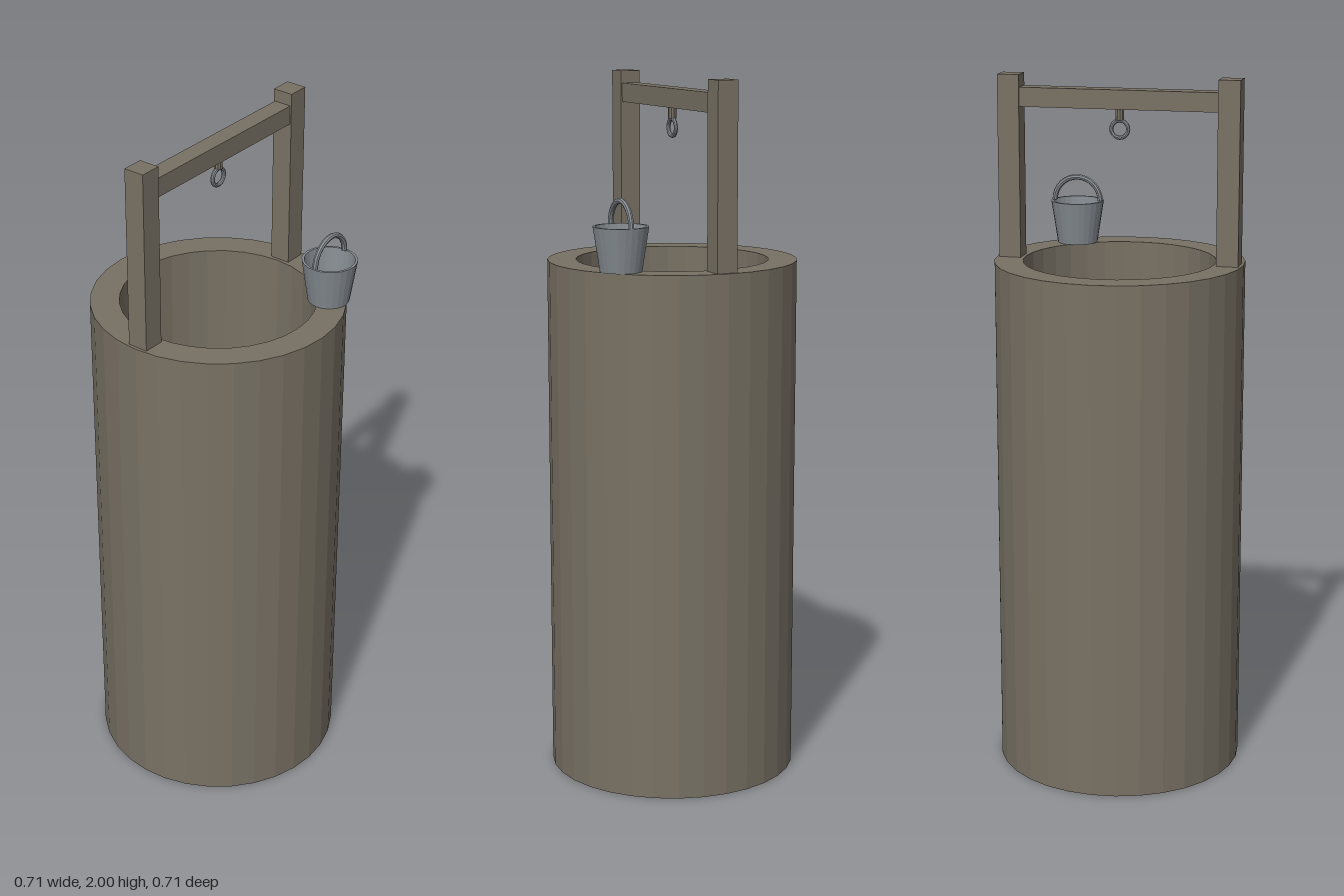
import * as THREE from 'three';

const stone = new THREE.MeshStandardMaterial({ name: 'weathered stone', color: 0x787164, flatShading: true });
const metal = new THREE.MeshStandardMaterial({ name: 'grey metal', color: 0x858b91, flatShading: true });

function add(parent, name, geometry, material, x = 0, y = 0, z = 0) {
  const mesh = new THREE.Mesh(geometry, material);
  mesh.name = name;
  mesh.position.set(x, y, z);
  parent.add(mesh);
  return mesh;
}

// Hollow vessel turned from an outline of [radius, height] pairs
function turned(outline, sides) {
  return new THREE.LatheGeometry(outline.map(([r, y]) => new THREE.Vector2(r, y)), sides);
}

export function createModel() {
  const well = new THREE.Group();
  well.name = 'well';
  const rimY = 1.485;

  // Tall shaft with a thick wall and a closed bottom
  add(well, 'shaft', turned([[0, 0], [0.354, 0], [0.354, rimY], [0.273, rimY], [0.273, 0.08], [0, 0.08]], 32), stone);

  // Two posts and the beam between them
  for (const side of [1, -1]) {
    add(well, side > 0 ? 'frontPost' : 'backPost',
      new THREE.BoxGeometry(0.06, 2 - rimY, 0.062), stone, 0, (2 + rimY) / 2, side * 0.313);
  }
  add(well, 'beam', new THREE.BoxGeometry(0.052, 0.054, 0.566), stone, 0, 1.938, 0);

  // Ring hanging under the beam
  add(well, 'ringStem', new THREE.CylinderGeometry(0.012, 0.012, 0.035, 10), stone, 0, 1.896, 0);
  add(well, 'ring', new THREE.TorusGeometry(0.024, 0.006, 8, 20), metal, 0, 1.854, 0).rotation.y = Math.PI / 2;

  // Bucket resting on the rim
  const bucket = new THREE.Group();
  bucket.name = 'bucket';
  bucket.position.set(0.242, rimY, -0.184);
  well.add(bucket);
  add(bucket, 'pail', turned([[0, 0], [0.058, 0], [0.077, 0.123], [0.07, 0.123], [0.053, 0.01], [0, 0.01]], 24), metal);
  add(bucket, 'handle', new THREE.TorusGeometry(0.068, 0.008, 8, 16, Math.PI), metal, 0, 0.123, 0).rotation.y = Math.PI / 2;

  return well;
}
